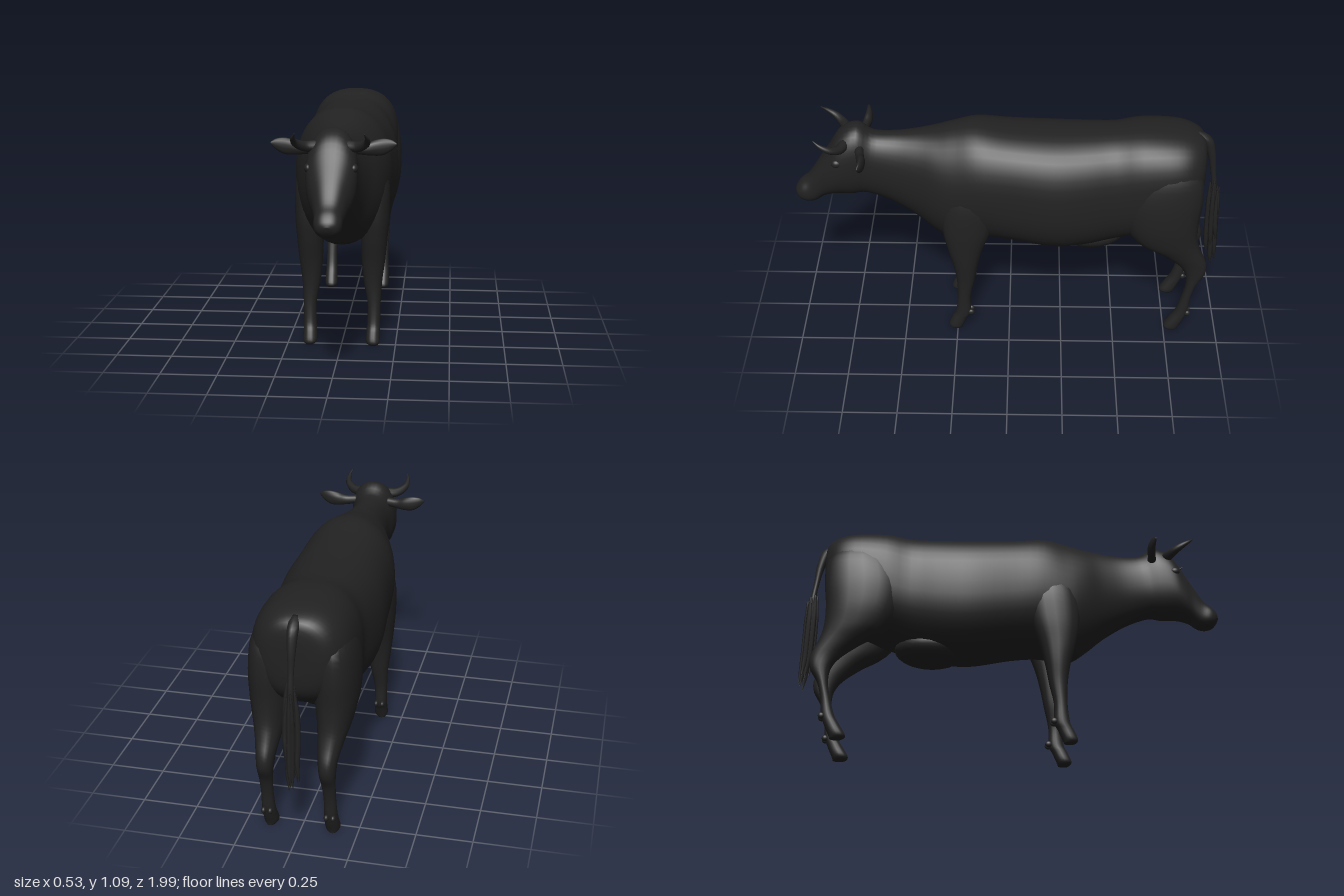
import * as THREE from 'three';

const hide = new THREE.MeshStandardMaterial({ color: 0x222222 });
hide.name = 'black hide';

// Catmull-Rom interpolation of whole rows of numbers
function refine(rows, steps) {
  const out = [], last = rows.length - 1;
  for (let i = 0; i < last; i++) {
    const a = rows[Math.max(i - 1, 0)], b = rows[i], c = rows[i + 1], d = rows[Math.min(i + 2, last)];
    for (let k = 0; k < steps; k++) {
      const t = k / steps;
      out.push(b.map((p, j) => p + 0.5 * t * (c[j] - a[j] + t * (2 * a[j] - 5 * p + 4 * c[j] - d[j]
        + t * (3 * (p - c[j]) + d[j] - a[j])))));
    }
  }
  out.push(rows[last]);
  return out;
}

// Skin over rings; row = centre xyz, half axis u xyz, half axis v xyz, roundness
function loft(name, rows, steps = 4, n = 24) {
  const rings = refine(rows, steps), pos = [], idx = [];
  const bend = (c, e) => Math.sign(c) * Math.pow(Math.abs(c), 2 / e);
  for (const r of rings) {
    for (let k = 0; k < n; k++) {
      const a = (k / n) * Math.PI * 2, cu = bend(Math.cos(a), r[9]), cv = bend(Math.sin(a), r[9]);
      for (let j = 0; j < 3; j++) pos.push(r[j] + r[3 + j] * cu + r[6 + j] * cv);
    }
  }
  const m = rings.length, vec = (r, o) => new THREE.Vector3(r[o], r[o + 1], r[o + 2]);
  const mid = rings[m >> 1];
  const along = vec(rings[Math.min((m >> 1) + 1, m - 1)], 0).sub(vec(rings[(m >> 1) - 1], 0));
  const flip = vec(mid, 3).cross(vec(mid, 6)).dot(along) < 0;
  const tri = (a, b, c) => (flip ? idx.push(a, c, b) : idx.push(a, b, c));
  for (let i = 0; i < m - 1; i++) {
    for (let k = 0; k < n; k++) {
      const a = i * n + k, b = i * n + (k + 1) % n;
      tri(a, b, b + n);
      tri(a, b + n, a + n);
    }
  }
  pos.push(...rings[0].slice(0, 3), ...rings[m - 1].slice(0, 3));
  for (let k = 0; k < n; k++) {
    const k2 = (k + 1) % n;
    tri(m * n, k2, k);
    tri(m * n + 1, (m - 1) * n + k, (m - 1) * n + k2);
  }
  const g = new THREE.BufferGeometry();
  g.setAttribute('position', new THREE.Float32BufferAttribute(pos, 3));
  g.setIndex(idx);
  g.computeVertexNormals();
  const mesh = new THREE.Mesh(g, hide);
  mesh.name = name;
  return mesh;
}

// Tapered tube along points [x, y, z, radius]
function taper(name, pts, n = 10) {
  const curve = new THREE.CatmullRomCurve3(pts.map(p => new THREE.Vector3(p[0], p[1], p[2])));
  const s = (pts.length - 1) * 4, f = curve.computeFrenetFrames(s);
  const radii = refine(pts.map(p => [p[3]]), 4);
  const rows = radii.map(([r], i) => [
    ...curve.getPoint(i / s).toArray(),
    ...f.normals[i].clone().multiplyScalar(r).toArray(),
    ...f.binormals[i].clone().multiplyScalar(r).toArray(), 2]);
  return loft(name, rows, 1, n);
}

// Leg rows: y, front z, back z, inner x, outer x
const leg = (name, side, rows) => loft(name, rows.map(([y, zf, zb, xi, xo]) => [
  side * (xi + xo) / 2, y, (zf + zb) / 2, (xo - xi) / 2, 0, 0, 0, 0, (zf - zb) / 2, 2.2]), 4, 18);

function blob(name, x, y, z, rx, ry, rz) {
  const mesh = new THREE.Mesh(new THREE.SphereGeometry(1, 24, 16), hide);
  mesh.position.set(x, y, z);
  mesh.scale.set(rx, ry, rz);
  mesh.name = name;
  return mesh;
}

export function createModel() {
  const cow = new THREE.Group();
  cow.name = 'cow';

  // Body, neck and head: top z, top y, bottom z, bottom y, half width, roundness
  const skin = [
    [-0.895, 0.96, -0.89, 0.80, 0.05, 2.2],
    [-0.885, 1.03, -0.875, 0.72, 0.13, 2.3],
    [-0.84, 1.065, -0.83, 0.66, 0.185, 2.4],
    [-0.75, 1.085, -0.75, 0.61, 0.215, 2.5],
    [-0.60, 1.09, -0.60, 0.545, 0.222, 2.5],
    [-0.48, 1.075, -0.48, 0.505, 0.212, 2.4],
    [-0.35, 1.07, -0.35, 0.475, 0.228, 2.4],
    [-0.20, 1.07, -0.20, 0.465, 0.24, 2.4],
    [0.00, 1.08, 0.00, 0.50, 0.227, 2.4],
    [0.15, 1.10, 0.13, 0.505, 0.22, 2.2],
    [0.25, 1.085, 0.27, 0.485, 0.20, 2.1],
    [0.33, 1.065, 0.35, 0.53, 0.175, 2.1],
    [0.42, 1.05, 0.44, 0.605, 0.135, 2.1],
    [0.52, 1.04, 0.55, 0.675, 0.104, 2.1],
    [0.62, 1.043, 0.66, 0.72, 0.094, 2.2],
    [0.69, 1.085, 0.73, 0.717, 0.106, 2.3],
    [0.77, 1.05, 0.79, 0.72, 0.108, 2.3],
    [0.83, 0.96, 0.83, 0.715, 0.094, 2.3],
    [0.88, 0.885, 0.865, 0.70, 0.074, 2.3],
    [0.93, 0.81, 0.90, 0.673, 0.06, 2.3],
    [0.97, 0.775, 0.94, 0.667, 0.058, 2.3],
    [0.993, 0.745, 0.975, 0.68, 0.043, 2.2],
    [1.0, 0.722, 0.993, 0.702, 0.014, 2],
  ];
  cow.add(loft('bodyAndHead', skin.map(([zt, yt, zb, yb, w, e]) => [
    0, (yt + yb) / 2, (zt + zb) / 2, w, 0, 0, 0, (yt - yb) / 2, (zt - zb) / 2, e]), 4, 40));
  cow.add(blob('udder', 0, 0.515, -0.38, 0.125, 0.08, 0.17));

  for (const s of [1, -1]) {
    const tag = s > 0 ? 'left' : 'right';

    // Front leg from hoof to shoulder
    cow.add(leg(tag + 'FrontLeg', s, [
      [0.008, 0.278, 0.228, 0.128, 0.168],
      [0.025, 0.292, 0.222, 0.114, 0.177],
      [0.07, 0.275, 0.203, 0.115, 0.177],
      [0.11, 0.257, 0.185, 0.118, 0.178],
      [0.20, 0.247, 0.185, 0.118, 0.179],
      [0.30, 0.25, 0.165, 0.10, 0.185],
      [0.40, 0.265, 0.147, 0.09, 0.198],
      [0.50, 0.29, 0.122, 0.085, 0.208],
      [0.62, 0.31, 0.08, 0.08, 0.217],
      [0.76, 0.30, 0.06, 0.08, 0.215],
      [0.90, 0.24, 0.10, 0.10, 0.18],
    ]));

    // Hind leg from hoof over the hock to the thigh
    cow.add(leg(tag + 'HindLeg', s, [
      [0.008, -0.762, -0.82, 0.12, 0.16],
      [0.025, -0.75, -0.825, 0.107, 0.17],
      [0.07, -0.775, -0.845, 0.108, 0.17],
      [0.12, -0.803, -0.862, 0.11, 0.168],
      [0.20, -0.825, -0.87, 0.112, 0.166],
      [0.28, -0.84, -0.89, 0.108, 0.168],
      [0.35, -0.832, -0.927, 0.10, 0.172],
      [0.41, -0.79, -0.928, 0.093, 0.178],
      [0.48, -0.70, -0.898, 0.08, 0.195],
      [0.55, -0.59, -0.877, 0.065, 0.216],
      [0.65, -0.53, -0.872, 0.05, 0.234],
      [0.78, -0.51, -0.882, 0.05, 0.237],
      [0.90, -0.55, -0.87, 0.06, 0.22],
      [0.99, -0.62, -0.80, 0.09, 0.18],
    ]));

    // Dewclaws behind each fetlock
    for (const dx of [-0.015, 0.015]) {
      cow.add(blob(tag + 'FrontDewclaw', s * 0.147 + dx, 0.11, 0.185, 0.011, 0.015, 0.017));
      cow.add(blob(tag + 'HindDewclaw', s * 0.14 + dx, 0.112, -0.86, 0.011, 0.015, 0.015));
    }

    // Flattened leaf-shaped ear: x, y, z, half height, half depth
    cow.add(loft(tag + 'Ear', [
      [0.075, 0.995, 0.68, 0.022, 0.022],
      [0.13, 0.99, 0.67, 0.024, 0.019],
      [0.17, 0.995, 0.662, 0.033, 0.02],
      [0.21, 1.0, 0.66, 0.035, 0.016],
      [0.245, 1.008, 0.664, 0.022, 0.01],
      [0.266, 1.013, 0.67, 0.004, 0.003],
    ].map(([x, y, z, h, d]) => [s * x, y, z, 0, h, 0, 0, 0, d, 2]), 4, 14));

    // Horn curving out, forward and up
    cow.add(taper(tag + 'Horn', [
      [s * 0.06, 1.015, 0.745, 0.025], [s * 0.11, 1.015, 0.765, 0.022],
      [s * 0.147, 1.035, 0.805, 0.016], [s * 0.152, 1.06, 0.845, 0.009], [s * 0.142, 1.082, 0.873, 0.002],
    ]));

    cow.add(blob(tag + 'Eye', s * 0.094, 0.928, 0.785, 0.018, 0.02, 0.024));
  }

  // Tail
  cow.add(taper('tail', [
    [0, 1.04, -0.84, 0.025], [0, 1.02, -0.89, 0.025], [0, 0.95, -0.918, 0.02],
    [0, 0.85, -0.935, 0.013], [0, 0.76, -0.947, 0.013], [0, 0.6, -0.953, 0.012],
  ], 12));

  // Ragged strands of the tail switch
  const tuft = new THREE.Group();
  tuft.name = 'tailSwitch';
  for (let i = 0; i < 12; i++) {
    const a = i * 2.4, r = 0.012 + 0.014 * ((i * 5) % 7) / 6;
    const x = Math.cos(a) * r, z = -0.952 + Math.sin(a) * r;
    const top = 0.74 + 0.06 * ((i * 3) % 5) / 4, end = 0.3 + 0.15 * ((i * 7) % 12) / 11;
    tuft.add(taper('strand', [
      [x * 0.7, top, z, 0.004], [x * 1.1, top - 0.1, z, 0.011],
      [x * 1.2, (top + end) / 2 - 0.03, z - 0.003, 0.012], [x * 1.1, end + 0.07, z - 0.008, 0.011],
      [x * 1.2 - 0.006, end, z - 0.016, 0.001],
    ], 6));
  }
  cow.add(tuft);
  return cow;
}
